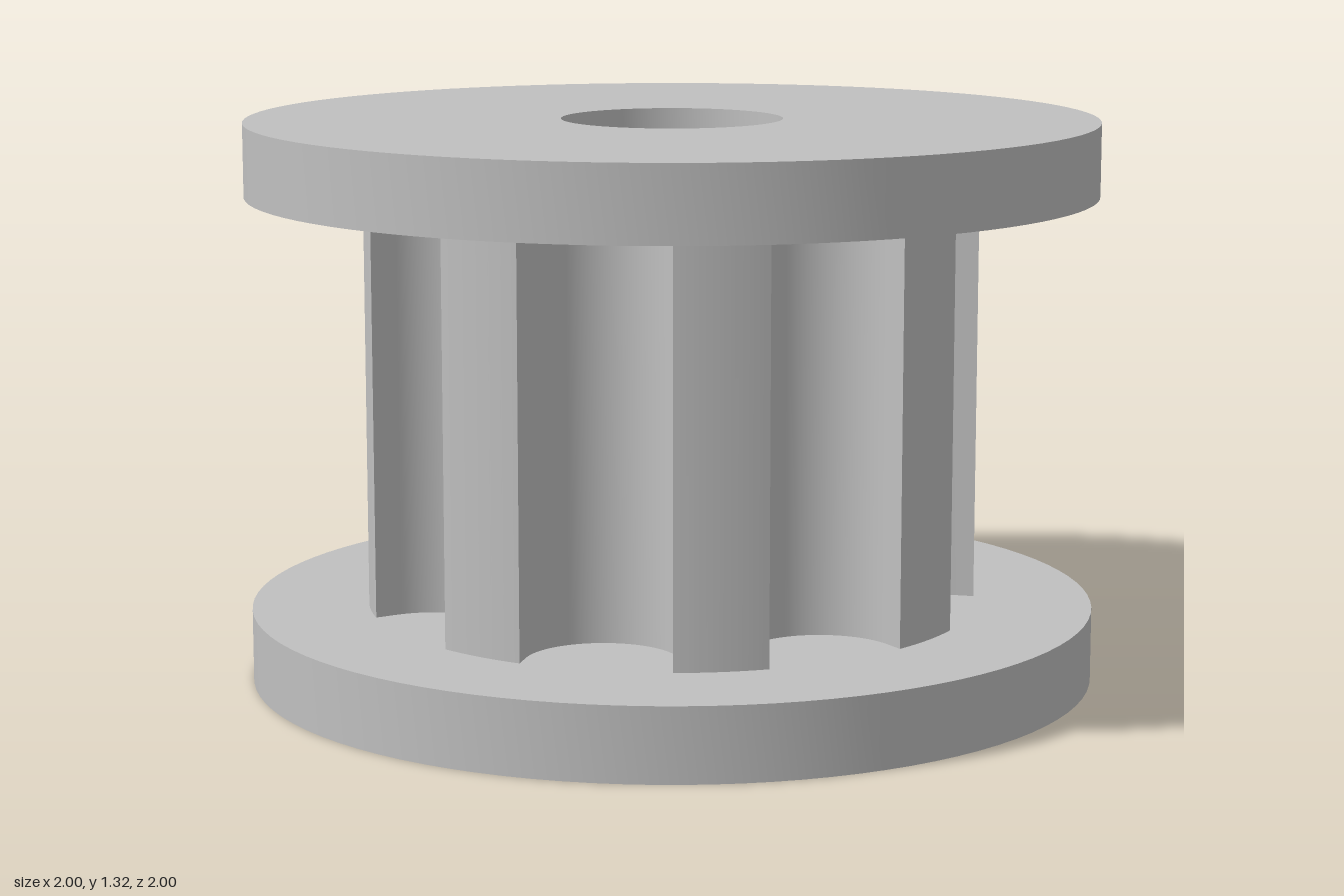
import * as THREE from 'three';
import { toCreasedNormals } from 'three/addons/utils/BufferGeometryUtils.js';

const BORE = 0.26;          // radius of the through hole
const FLANGE_R = 1, FLANGE_H = 0.172, HEIGHT = 1.322;
const TOOTH_R = 0.724;      // outer radius of the teeth
const GROOVE_R = 0.175;     // radius of the rounded grooves
const GROOVE_C = 0.65;      // distance of the groove centres from the axis
const TEETH = 8;

// Ring-shaped disc with a square-edged section
function flangeGeometry() {
  const profile = [
    [BORE, 0], [FLANGE_R, 0], [FLANGE_R, FLANGE_H], [BORE, FLANGE_H], [BORE, 0],
  ].map(([r, y]) => new THREE.Vector2(r, y));
  return toCreasedNormals(new THREE.LatheGeometry(profile, 96), Math.PI / 6);
}

// Toothed core: arcs for tooth tips, straight-walled round grooves between them
function coreGeometry() {
  const shape = new THREE.Shape();
  const step = (Math.PI * 2) / TEETH;
  const half = Math.asin(GROOVE_R / TOOTH_R);
  for (let i = 0; i < TEETH; i++) {
    const g = i * step;
    shape.absarc(0, 0, TOOTH_R, g - step + half, g - half, false);
    shape.absarc(GROOVE_C * Math.cos(g), GROOVE_C * Math.sin(g), GROOVE_R,
      g - Math.PI / 2, g + Math.PI / 2, true);
  }
  shape.closePath();
  const hole = new THREE.Path();
  hole.absarc(0, 0, BORE, 0, Math.PI * 2, true);
  shape.holes.push(hole);
  const geometry = new THREE.ExtrudeGeometry(shape, {
    depth: HEIGHT - 2 * FLANGE_H, bevelEnabled: false, curveSegments: 24,
  });
  geometry.rotateX(-Math.PI / 2);
  return toCreasedNormals(geometry, Math.PI / 6);
}

export function createModel() {
  const metal = new THREE.MeshStandardMaterial({ color: 0xc0c0c0 });
  metal.name = 'light grey';

  const pulley = new THREE.Group();
  pulley.name = 'toothed pulley';
  const add = (name, geometry, y) => {
    const mesh = new THREE.Mesh(geometry, metal);
    mesh.name = name;
    mesh.position.y = y;
    pulley.add(mesh);
  };

  const flange = flangeGeometry();
  add('lowerFlange', flange, 0);
  add('toothedCore', coreGeometry(), FLANGE_H);
  add('upperFlange', flange, HEIGHT - FLANGE_H);
  return pulley;
}
